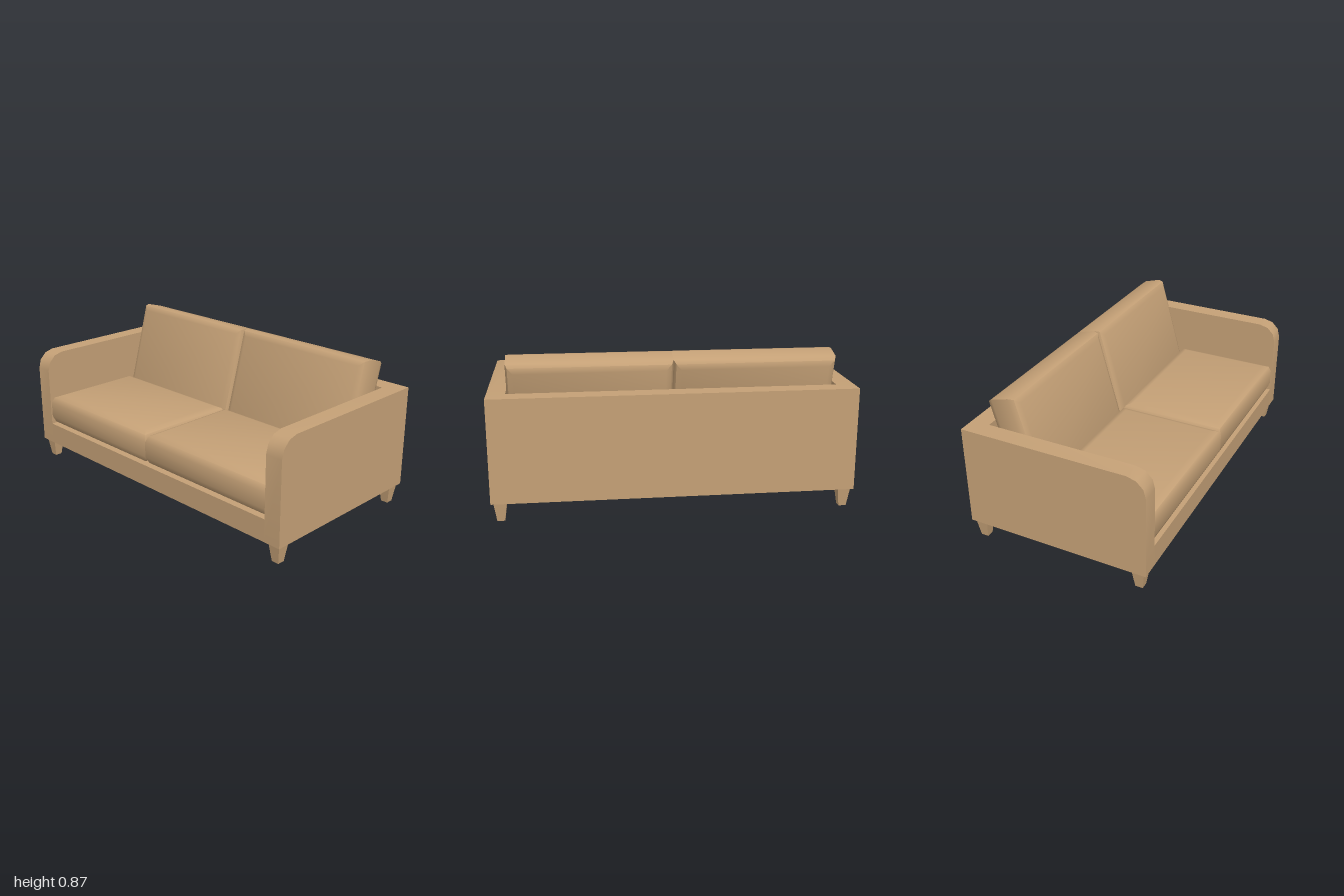
import * as THREE from 'three';
import { toCreasedNormals } from 'three/addons/utils/BufferGeometryUtils.js';

const fabric = new THREE.MeshStandardMaterial({ color: 0xc4a076 });

const HALF_DEPTH = 0.527, BOTTOM = 0.108, TOP = 0.688, SEAT = 0.235, INNER = 0.9, ARM = 0.1;

function add(parent, name, geometry, x = 0, y = 0, z = 0) {
  const mesh = new THREE.Mesh(geometry, fabric);
  mesh.name = name;
  mesh.position.set(x, y, z);
  parent.add(mesh);
  return mesh;
}

// Side panel with a three-facet rounded front top corner, extruded along x
function armGeometry() {
  const r = 0.105, s = new THREE.Shape();
  s.moveTo(-HALF_DEPTH, BOTTOM);
  s.lineTo(HALF_DEPTH, BOTTOM);
  for (let i = 0; i <= 3; i++) {
    const a = (i / 3) * Math.PI / 2;
    s.lineTo(HALF_DEPTH - r + r * Math.cos(a), TOP - r + r * Math.sin(a));
  }
  s.lineTo(-HALF_DEPTH, TOP);
  const g = new THREE.ExtrudeGeometry(s, { depth: ARM, bevelEnabled: false });
  g.translate(0, 0, -ARM / 2);
  g.rotateY(-Math.PI / 2);
  // the turn sends the profile's +x to +z
  return toCreasedNormals(g, 0.6);
}

// Cushion with a square outline (width x length) and bevels across its thickness (z)
function cushionGeometry(width, length, thickness, bevel) {
  const w = width / 2 - bevel, l = length / 2 - bevel;
  const s = new THREE.Shape([[-w, -l], [w, -l], [w, l], [-w, l]].map(p => new THREE.Vector2(...p)));
  const depth = thickness - 2 * bevel;
  const g = new THREE.ExtrudeGeometry(s, {
    depth, bevelSize: bevel, bevelThickness: bevel, bevelSegments: 2,
  });
  g.translate(0, 0, -depth / 2);
  return toCreasedNormals(g, 0.9);
}

// Square leg tapering towards the floor
function legGeometry() {
  const g = new THREE.CylinderGeometry(0.036 * Math.SQRT2, 0.021 * Math.SQRT2, BOTTOM, 4);
  g.rotateY(Math.PI / 4);
  return toCreasedNormals(g, 0.5);
}

export function createModel() {
  const sofa = new THREE.Group();
  sofa.name = 'sofa';

  // Frame between the arms
  add(sofa, 'base', new THREE.BoxGeometry(2 * INNER, SEAT - BOTTOM, 2 * HALF_DEPTH), 0, (SEAT + BOTTOM) / 2, 0);
  add(sofa, 'backPanel', new THREE.BoxGeometry(2 * INNER, TOP - SEAT, 0.105),
    0, (TOP + SEAT) / 2, -HALF_DEPTH + 0.0525);

  const arm = armGeometry(), leg = legGeometry();
  const seat = cushionGeometry(0.897, 0.637, 0.19, 0.05);
  const back = cushionGeometry(0.897, 0.618, 0.186, 0.042);
  const tilt = 0.273;

  for (const side of [1, -1]) {
    const name = side > 0 ? 'left' : 'right';
    add(sofa, name + 'Arm', arm, side * (INNER + ARM / 2));

    // Seat cushion lies flat, back cushion leans backwards
    const s = add(sofa, name + 'SeatCushion', seat, side * 0.4485, SEAT + 0.095, 0.2035);
    s.rotation.x = -Math.PI / 2;
    const d = -0.102, h = 0.609;
    const b = add(sofa, name + 'BackCushion', back, side * 0.4485,
      h * Math.cos(tilt) + d * Math.sin(tilt), d * Math.cos(tilt) - h * Math.sin(tilt));
    b.rotation.x = -tilt;

    for (const end of [1, -1]) {
      add(sofa, name + (end > 0 ? 'FrontLeg' : 'RearLeg'), leg, side * 0.95, BOTTOM / 2, end * 0.475);
    }
  }
  return sofa;
}
